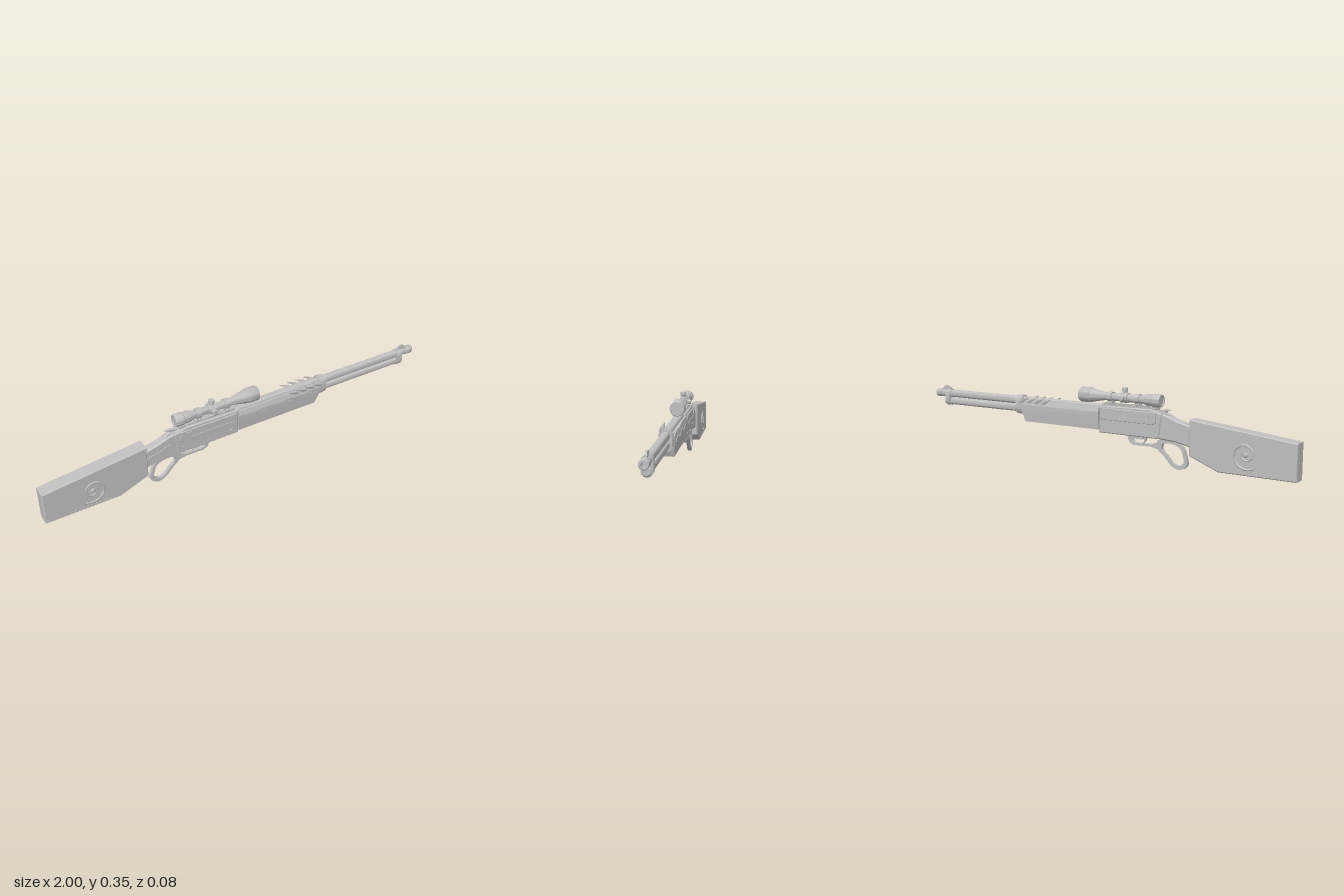
import * as THREE from 'three';
import { toCreasedNormals } from 'three/addons/utils/BufferGeometryUtils.js';

const metal = new THREE.MeshStandardMaterial({ color: 0xbfbfbf });
metal.name = 'plain grey';

const v2 = (pts) => pts.map(([x, y]) => new THREE.Vector2(x, y));
const smooth = (pts, closed = false, n = 40) =>
  new THREE.CatmullRomCurve3(pts.map(([x, y]) => new THREE.Vector3(x, y, 0)), closed)
    .getPoints(n).map((p) => [p.x, p.y]);

export function createModel() {
  const root = new THREE.Group();
  root.name = 'leverRifle';

  const add = (name, geo, x = 0, y = 0, z = 0, crease = 0.6) => {
    const mesh = new THREE.Mesh(toCreasedNormals(geo, crease), metal);
    mesh.name = name;
    mesh.position.set(x, y, z);
    root.add(mesh);
    return mesh;
  };
  // side outline in x/y, thick in z and centred on z = 0
  const slab = (pts, half, bevel = 0, hole = null) => {
    const shape = new THREE.Shape(v2(pts));
    if (hole) shape.holes.push(new THREE.Path(v2(hole)));
    const geo = new THREE.ExtrudeGeometry(shape, {
      depth: 2 * (half - bevel), bevelEnabled: bevel > 0, bevelSize: bevel,
      bevelThickness: bevel, bevelOffset: -bevel, bevelSegments: 1,
    });
    return geo.translate(0, 0, bevel - half);
  };
  // mirrored half section [z, y], extended along x
  const prism = (half, x0, x1) => {
    const pts = [...half, ...half.slice().reverse().map(([z, y]) => [-z, y])];
    return new THREE.ExtrudeGeometry(new THREE.Shape(v2(pts)), { depth: x1 - x0, bevelEnabled: false })
      .rotateY(Math.PI / 2).translate(x0, 0, 0);
  };
  // turned profile [radius, x]
  const turned = (pts, seg = 24) => new THREE.LatheGeometry(v2(pts), seg).rotateZ(-Math.PI / 2);
  const rod = (r, x0, x1) => turned([[0, x0], [r, x0], [r, x1], [0, x1]]);
  const box = (w, h, d) => new THREE.BoxGeometry(w, h, d);
  // section of a clamp around barrel and magazine
  const clamp = (r) => {
    const half = [];
    for (let i = 0; i <= 6; i++) {
      const a = -Math.PI / 2 + (i / 6) * Math.PI / 2;
      half.push([r * Math.cos(a) + 0.001, 0.205 + r * Math.sin(a)]);
    }
    for (let i = 0; i <= 6; i++) {
      const a = (i / 6) * Math.PI / 2;
      half.push([r * Math.cos(a) + 0.001, 0.242 + r * Math.sin(a)]);
    }
    return half;
  };

  // stock and wrist
  add('stock', slab([[-1, 0.02], [-0.65, 0.02], [-0.51, 0.075], [-0.51, 0.235], [-1, 0.18]], 0.033, 0.004));
  add('wrist', slab([[-0.53, 0.105], [-0.44, 0.125], [-0.34, 0.132], [-0.34, 0.25], [-0.4, 0.238],
    [-0.44, 0.222], [-0.53, 0.198]], 0.022, 0.006));
  add('tang', slab([[-0.43, 0.222], [-0.36, 0.24], [-0.36, 0.252], [-0.4, 0.246]], 0.012, 0.002));

  // spiral ornament and trim on both sides of the stock
  for (const s of [1, -1]) {
    const path = [];
    for (let i = 0; i <= 40; i++) {
      const t = i / 40, a = -2.2 + t * 9.4, r = 0.068 - 0.056 * Math.pow(t, 0.8);
      path.push(new THREE.Vector3(r * Math.cos(a), r * Math.sin(a), 0));
    }
    const spiral = new THREE.TubeGeometry(new THREE.CatmullRomCurve3(path), 80, 0.005, 6);
    add('stockSpiral', spiral, -0.775, 0.11, s * 0.034);
    add('spiralStud', new THREE.SphereGeometry(0.012, 12, 8).scale(1, 1, 0.6), -0.775, 0.11, s * 0.033);
    add('stockTrim', box(0.2, 0.003, 0.003), -0.79, 0.034, s * 0.033);
    add('stockPin', new THREE.CylinderGeometry(0.005, 0.005, 0.004, 10).rotateX(Math.PI / 2), -0.95, 0.15, s * 0.033);
    add('wristTrim', slab(smooth([[-0.5, 0.165], [-0.45, 0.178], [-0.39, 0.2], [-0.385, 0.192],
      [-0.44, 0.166], [-0.5, 0.155]], true, 24), 0.002), 0, 0, s * 0.023);
  }

  // receiver
  add('receiver', slab([[-0.355, 0.132], [-0.04, 0.132], [-0.04, 0.258], [-0.31, 0.262],
    [-0.37, 0.245]], 0.028, 0.004));
  for (const s of [1, -1]) {
    add('sidePlate', slab([[-0.345, 0.205], [-0.33, 0.195], [-0.06, 0.195], [-0.048, 0.207], [-0.048, 0.25],
      [-0.345, 0.25]], 0.004, 0.002), 0, 0, s * 0.031);
    add('plateRib', box(0.22, 0.005, 0.004), -0.18, 0.212, s * 0.036);
    add('boltBlock', box(0.025, 0.018, 0.005), -0.3, 0.232, s * 0.036);
    for (const [x, y] of [[-0.33, 0.165], [-0.2, 0.15], [-0.08, 0.16]])
      add('screw', new THREE.CylinderGeometry(0.006, 0.006, 0.004, 12).rotateX(Math.PI / 2), x, y, s * 0.029);
  }
  add('hammer', slab([[-0.37, 0.235], [-0.34, 0.24], [-0.345, 0.258], [-0.385, 0.268], [-0.405, 0.262],
    [-0.385, 0.255]], 0.007, 0.002));

  // lever loop, guard and trigger
  const loop = smooth([[-0.345, 0.125], [-0.42, 0.128], [-0.465, 0.108], [-0.486, 0.06], [-0.49, 0.025],
    [-0.455, 0.001], [-0.415, 0.014], [-0.375, 0.055], [-0.338, 0.09]], true, 48);
  const inner = loop.map(([x, y]) => [-0.432 + (x + 0.432) * 0.72, 0.066 + (y - 0.066) * 0.74]);
  add('leverLoop', slab(loop.slice(0, -1), 0.009, 0, inner.slice(0, -1)));
  add('leverGuard', slab([[-0.36, 0.085], [-0.335, 0.084], [-0.31, 0.09], [-0.215, 0.089], [-0.195, 0.1],
    [-0.18, 0.134], [-0.2, 0.134], [-0.212, 0.106], [-0.225, 0.1], [-0.31, 0.101], [-0.36, 0.12]], 0.009));
  add('trigger', slab(smooth([[-0.285, 0.14], [-0.278, 0.115], [-0.262, 0.097], [-0.27, 0.115],
    [-0.268, 0.14]], true, 24), 0.005));
  add('leverHinge', box(0.08, 0.018, 0.024), -0.23, 0.128);

  // forend, with its lower front edge cut back
  const forend = prism([[0.029, 0.145], [0.034, 0.2], [0.035, 0.228], [0.028, 0.25]], -0.04, 0.415);
  const p = forend.attributes.position;
  for (let i = 0; i < p.count; i++)
    if (p.getX(i) > 0.4 && p.getY(i) < 0.16) p.setX(i, 0.39);
  add('forend', forend, 0, 0, 0, 0.15);
  for (const s of [1, -1]) {
    // carved leaves along the forend
    for (const x of [0.06, 0.2, 0.33])
      add('carvedLeaf', slab(smooth([[-0.07, 0.008], [0, 0.011], [0.06, -0.006], [0, -0.007]], true, 24), 0.002),
        x, 0.215, s * 0.035);
    // feather blades at the top edge
    for (let i = 0; i < 4; i++) {
      const blade = slab(smooth([[-0.045, 0.015], [-0.01, 0.006], [0.025, -0.012], [0.005, -0.016],
        [-0.018, -0.002]], true, 24), 0.003, 0.001);
      add('featherBlade', blade, 0.27 + i * 0.045, 0.25, s * 0.034).rotation.x = s * 0.25;
    }
  }

  // barrel, magazine tube and clamps
  add('barrel', turned([[0, -0.05], [0.02, -0.05], [0.019, 0.93], [0.018, 0.96], [0.021, 0.962], [0.021, 0.995],
    [0.018, 1], [0.011, 1], [0.011, 0.96], [0, 0.96]]), 0, 0.244);
  add('magazineTube', turned([[0, 0], [0.019, 0], [0.019, 0.92], [0.021, 0.922], [0.021, 0.935], [0.015, 0.94],
    [0, 0.94]]), 0, 0.205);
  add('rearClamp', prism(clamp(0.027), 0.415, 0.455));
  add('clampRidge', prism(clamp(0.029), 0.425, 0.435));
  add('frontClamp', prism(clamp(0.023), 0.9, 0.93));
  add('sightBase', box(0.055, 0.012, 0.014), 0.935, 0.264);
  add('frontSight', slab(smooth([[0.908, 0.262], [0.915, 0.276], [0.935, 0.284], [0.955, 0.276],
    [0.962, 0.262]], false, 16), 0.005));

  // scope rail with cross slots
  add('rail', box(0.29, 0.008, 0.032), -0.195, 0.262);
  for (let i = 0; i < 15; i++) add('railTooth', box(0.011, 0.007, 0.036), -0.33 + i * 0.0193, 0.267);

  // scope
  const sy = 0.3;
  add('scopeBody', turned([[0, -0.35], [0.023, -0.35], [0.023, -0.356], [0.028, -0.356], [0.03, -0.35],
    [0.03, -0.315], [0.027, -0.312], [0.027, -0.285], [0.018, -0.255], [0.018, -0.06], [0.031, 0.005],
    [0.031, 0.015], [0.035, 0.018], [0.035, 0.07], [0.032, 0.075], [0.029, 0.075], [0.029, 0.069], [0, 0.069]], 28), 0, sy);
  for (const x of [-0.235, -0.09]) {
    add('scopeRing', rod(0.023, -0.012, 0.012), x, sy);
    add('ringFoot', box(0.024, 0.03, 0.026), x, 0.276);
    add('ringClampBolt', new THREE.CylinderGeometry(0.006, 0.006, 0.048, 10).rotateX(Math.PI / 2), x, 0.272);
  }
  add('turretHousing', rod(0.023, -0.02, 0.02), -0.165, sy);
  // adjustment turrets: top, side and far side
  const turret = (h) => new THREE.LatheGeometry(v2([[0, 0], [0.01, 0], [0.01, h - 0.018], [0.014, h - 0.016],
    [0.014, h - 0.002], [0.012, h], [0, h]]), 16);
  add('topTurret', turret(0.047), -0.165, sy);
  add('sideTurret', turret(0.043).rotateX(Math.PI / 2), -0.165, sy);
  add('farTurret', turret(0.037).rotateX(-Math.PI / 2).scale(0.8, 0.8, 1), -0.165, sy);

  return root;
}
